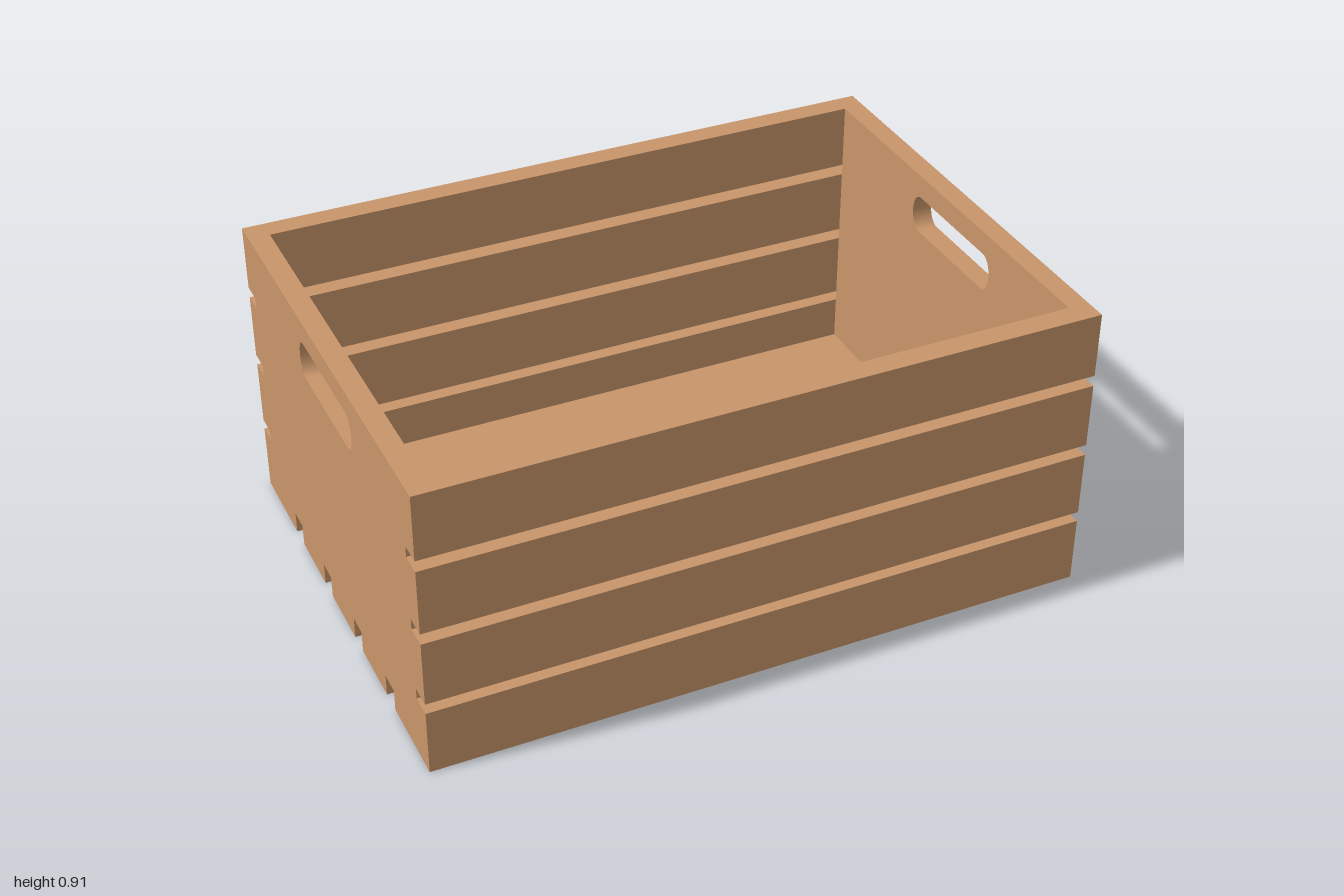
import * as THREE from 'three';

const X = 1, Z = 0.715, H = 0.91; // outer half length, half depth, height
const T = 0.063, W = 0.068;       // end panel and slat thickness
const sideGaps = [[0.205, 0.237], [0.44, 0.474], [0.676, 0.71]];
const floorGaps = [[-0.442, -0.373], [-0.169, -0.102], [0.102, 0.169], [0.373, 0.442]];

// Solid spans left between a list of gaps
function spans(start, end, gaps) {
  const cuts = [start, ...gaps.flat(), end];
  const out = [];
  for (let i = 0; i < cuts.length; i += 2) out.push([cuts[i], cuts[i + 1]]);
  return out;
}

// End panel outline (z, y) with edge notches and a grip hole
function endPanelGeometry() {
  const s = new THREE.Shape();
  s.moveTo(-Z, 0);
  for (const [a, b] of floorGaps) {
    s.lineTo(a, 0); s.lineTo(a, W); s.lineTo(b, W); s.lineTo(b, 0);
  }
  s.lineTo(Z, 0);
  for (const [a, b] of sideGaps) {
    s.lineTo(Z, a); s.lineTo(Z - W, a); s.lineTo(Z - W, b); s.lineTo(Z, b);
  }
  s.lineTo(Z, H);
  s.lineTo(-Z, H);
  for (const [a, b] of [...sideGaps].reverse()) {
    s.lineTo(-Z, b); s.lineTo(-Z + W, b); s.lineTo(-Z + W, a); s.lineTo(-Z, a);
  }
  s.closePath();

  const grip = new THREE.Path();
  grip.absellipse(0.2, 0.782, 0.04, 0.058, -Math.PI / 2, Math.PI / 2, false);
  grip.absellipse(-0.16, 0.782, 0.04, 0.058, Math.PI / 2, Math.PI * 1.5, false);
  grip.closePath();
  s.holes.push(grip);

  const g = new THREE.ExtrudeGeometry(s, { depth: T, bevelEnabled: false, curveSegments: 12 });
  return g.rotateY(-Math.PI / 2); // depth now runs from x = 0 to -T
}

export function createModel() {
  const crate = new THREE.Group();
  crate.name = 'crate';
  const wood = new THREE.MeshStandardMaterial({ color: 0xc8956a });
  wood.name = 'wood';

  const add = (name, geometry, x, y, z) => {
    const m = new THREE.Mesh(geometry, wood);
    m.name = name;
    m.position.set(x, y, z);
    crate.add(m);
  };

  // End panels
  const panel = endPanelGeometry();
  add('leftEndPanel', panel, X, 0, 0);
  add('rightEndPanel', panel, -X + T, 0, 0);

  // Front and back slats
  const length = 2 * (X - T);
  for (const [a, b] of spans(0, H, sideGaps)) {
    const g = new THREE.BoxGeometry(length, b - a, W);
    add('frontSlat', g, 0, (a + b) / 2, Z - W / 2);
    add('backSlat', g, 0, (a + b) / 2, -Z + W / 2);
  }

  // Floor slats
  for (const [a, b] of spans(-Z + W, Z - W, floorGaps)) {
    add('floorSlat', new THREE.BoxGeometry(length, W, b - a), 0, W / 2, (a + b) / 2);
  }
  return crate;
}
